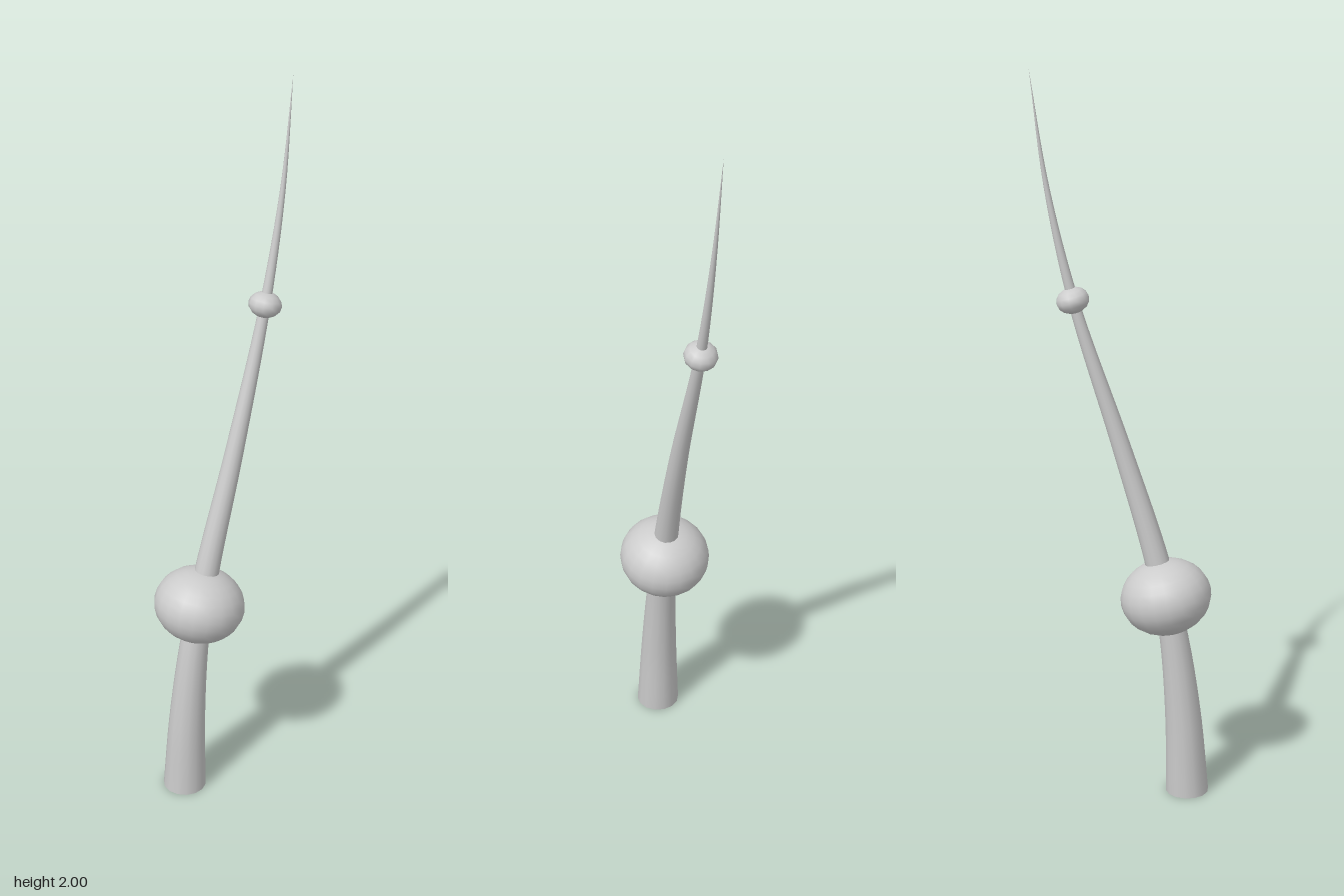
import * as THREE from 'three';

const V = (x, y, z) => new THREE.Vector3(x, y, z);

export function createModel() {
  const group = new THREE.Group();
  const material = new THREE.MeshStandardMaterial({ color: 0xcccccc, side: THREE.DoubleSide });

  // Leaning S-shaped centre line from the base to the tip
  const spine = new THREE.CatmullRomCurve3([
    V(-0.077, 0, 0.145), V(-0.07, 0.22, 0.135), V(-0.051, 0.47, 0.111),
    V(-0.021, 0.68, 0.073), V(0.04, 1.0, -0.008), V(0.107, 1.395, -0.117),
    V(0.143, 1.7, -0.176), V(0.161, 2, -0.213),
  ]);

  // Stalk: a hollow tube tapered to a point, open at the bottom
  const steps = 40, sides = 14;
  const radii = [[0, 0.06], [0.25, 0.049], [0.47, 0.039], [0.7, 0.033], [1.38, 0.015], [2, 0]];
  const radiusAt = (y) => {
    const i = Math.max(1, radii.findIndex(([h]) => h >= y));
    const [[y0, r0], [y1, r1]] = [radii[i - 1], radii[i]];
    return THREE.MathUtils.mapLinear(y, y0, y1, r0, r1);
  };
  const stalkGeometry = new THREE.TubeGeometry(spine, steps, 1, sides);
  const position = stalkGeometry.attributes.position;
  const p = V(0, 0, 0);
  for (let i = 0; i <= steps; i++) {
    const centre = spine.getPointAt(i / steps);
    const r = radiusAt(Math.min(2, Math.max(0, centre.y)));
    for (let j = 0; j <= sides; j++) {
      const k = i * (sides + 1) + j;
      p.fromBufferAttribute(position, k).sub(centre).multiplyScalar(r).add(centre);
      position.setXYZ(k, p.x, i === 0 ? 0 : p.y, p.z);
    }
  }
  const stalk = new THREE.Mesh(stalkGeometry, material);
  stalk.name = 'stalk';
  group.add(stalk);

  // Beads: flattened balls squashed along the stalk
  const addBead = (name, centre, axis, radius, height, segments) => {
    const geometry = new THREE.SphereGeometry(1, segments, Math.round(segments * 0.7));
    const bead = new THREE.Mesh(geometry, material);
    bead.name = name;
    bead.scale.set(radius, height, radius);
    bead.position.copy(centre);
    bead.quaternion.setFromUnitVectors(V(0, 1, 0), axis.normalize());
    group.add(bead);
  };
  addBead('lowerBead', V(-0.04, 0.577, 0.093), V(0.14, 1, -0.18), 0.125, 0.104, 20);
  addBead('upperBead', V(0.107, 1.395, -0.118), V(0.15, 1, -0.25), 0.045, 0.035, 12);

  return group;
}
